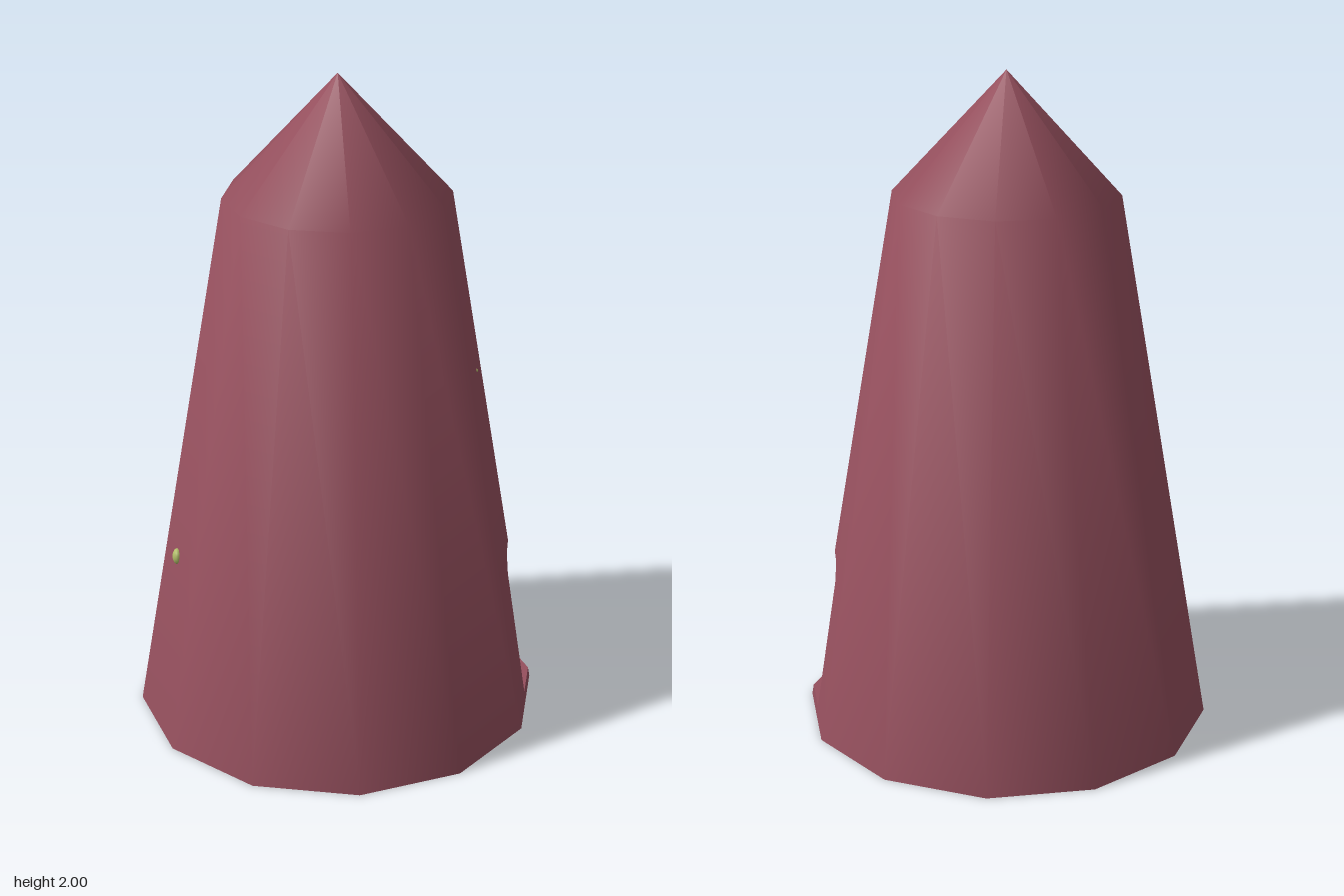
import * as THREE from 'three';

const R0 = 0.618, R1 = 0.336, EAVE = 1.64, TOP = 2;
const SIDES = 12, STEP = Math.PI * 2 / SIDES;
const radiusAt = y => R0 + (R1 - R0) * y / EAVE;
// x on the flat facets either side of the +x corner
const facetX = (u, y) => radiusAt(y) - u * Math.tan(STEP / 2);

// Half outline of the doorway: distance from the centre line, height
const mouth = [[0, 0.03], [0.145, 0.03], [0.102, 0.43], [0.06, 0.48], [0, 0.492]];
const recess = [[0, 0.03], [0.1, 0.03], [0.082, 0.42], [0.046, 0.466], [0, 0.474]];

// Smooth normals that run round the tower and on into its point
function smooth(geo) {
  const p = geo.attributes.position, n = geo.attributes.normal;
  for (let i = 0; i < p.count; i++) {
    const y = p.getY(i);
    const ny = y <= EAVE
      ? THREE.MathUtils.lerp(0.171, 0.444, y / EAVE)
      : THREE.MathUtils.lerp(0.444, 0.681, (y - EAVE) / (TOP - EAVE));
    const atTip = Math.hypot(p.getX(i), p.getZ(i)) < 1e-5;
    const a = atTip ? Math.atan2(n.getZ(i), n.getX(i)) : Math.atan2(p.getZ(i), p.getX(i));
    const h = Math.sqrt(1 - ny * ny);
    n.setXYZ(i, Math.cos(a) * h, ny, Math.sin(a) * h);
  }
  return geo;
}

// One facet beside the doorway, cut around half the opening
function doorFacet() {
  const s = Math.sin(STEP);
  const outline = [[0, 0], [R0 * s, 0], [R1 * s, EAVE], [0, EAVE], ...mouth.slice(1).reverse(), mouth[0]];
  const geo = new THREE.ShapeGeometry(new THREE.Shape(outline.map(q => new THREE.Vector2(...q))));
  const p = geo.attributes.position;
  for (let i = 0; i < p.count; i++) {
    const u = p.getX(i), y = p.getY(i);
    p.setXYZ(i, facetX(u, y), y, -u);
  }
  return smooth(geo);
}

// Half of the niche: floor, jamb, arch and back wall
function nicheHalf() {
  const front = mouth.map(([u, y]) => [facetX(u, y), y, -u]);
  const back = recess.map(([u, y]) => [0.502 - 0.035 * y, y, -u]);
  const v = [];
  for (let i = 0; i < front.length - 1; i++) {
    v.push(front[i], front[i + 1], back[i + 1], front[i], back[i + 1], back[i]);
    if (i > 0) v.push(back[0], back[i], back[i + 1]);
  }
  const geo = new THREE.BufferGeometry();
  geo.setAttribute('position', new THREE.Float32BufferAttribute(v.flat(), 3));
  geo.computeVertexNormals();
  return geo;
}

export function createModel() {
  const model = new THREE.Group();
  model.name = 'tower';
  const red = new THREE.MeshStandardMaterial({ color: 0x96505e });
  const green = new THREE.MeshStandardMaterial({ color: 0xb0bc68 });

  const add = (name, geo, material, parent = model) => {
    const mesh = new THREE.Mesh(geo, material);
    mesh.name = name;
    parent.add(mesh);
    return mesh;
  };
  const lathe = (profile, sides, start) => smooth(new THREE.LatheGeometry(
    profile.map(q => new THREE.Vector2(...q)), sides, start, sides * STEP));

  // Tapering wall (all but the two door facets), pointed roof and base
  add('wall', lathe([[R0, 0], [R1, EAVE]], SIDES - 2, 4 * STEP), red);
  add('roof', lathe([[R1, EAVE], [0, TOP]], SIDES, 0), red);
  add('base', new THREE.CircleGeometry(R0, SIDES).rotateX(Math.PI / 2), red);

  // Doorway, mirrored about its centre line
  const facet = doorFacet(), niche = nicheHalf();
  for (const side of [1, -1]) {
    const half = new THREE.Group();
    half.name = side > 0 ? 'doorwayRight' : 'doorwayLeft';
    half.scale.z = side;
    add('doorFacet', facet, red, half);
    add('doorNiche', niche, red, half);
    model.add(half);
  }

  // Small green tips showing through the wall and under the arch
  const ball = new THREE.SphereGeometry(1, 10, 8);
  const tips = [
    ['wallTip', [-0.497, 0.545, 0.1], [0.015, 0.025, 0.022], 0],
    ['archTip', [0.5, 0.467, 0.028], [0.02, 0.009, 0.042], 0.4],
    ['upperTip', [0.404, 1.105, 0.08], [0.006, 0.006, 0.006], 0],
  ];
  for (const [name, pos, size, tilt] of tips) {
    const tip = add(name, ball, green);
    tip.position.set(...pos);
    tip.scale.set(...size);
    tip.rotation.x = tilt;
  }
  return model;
}
